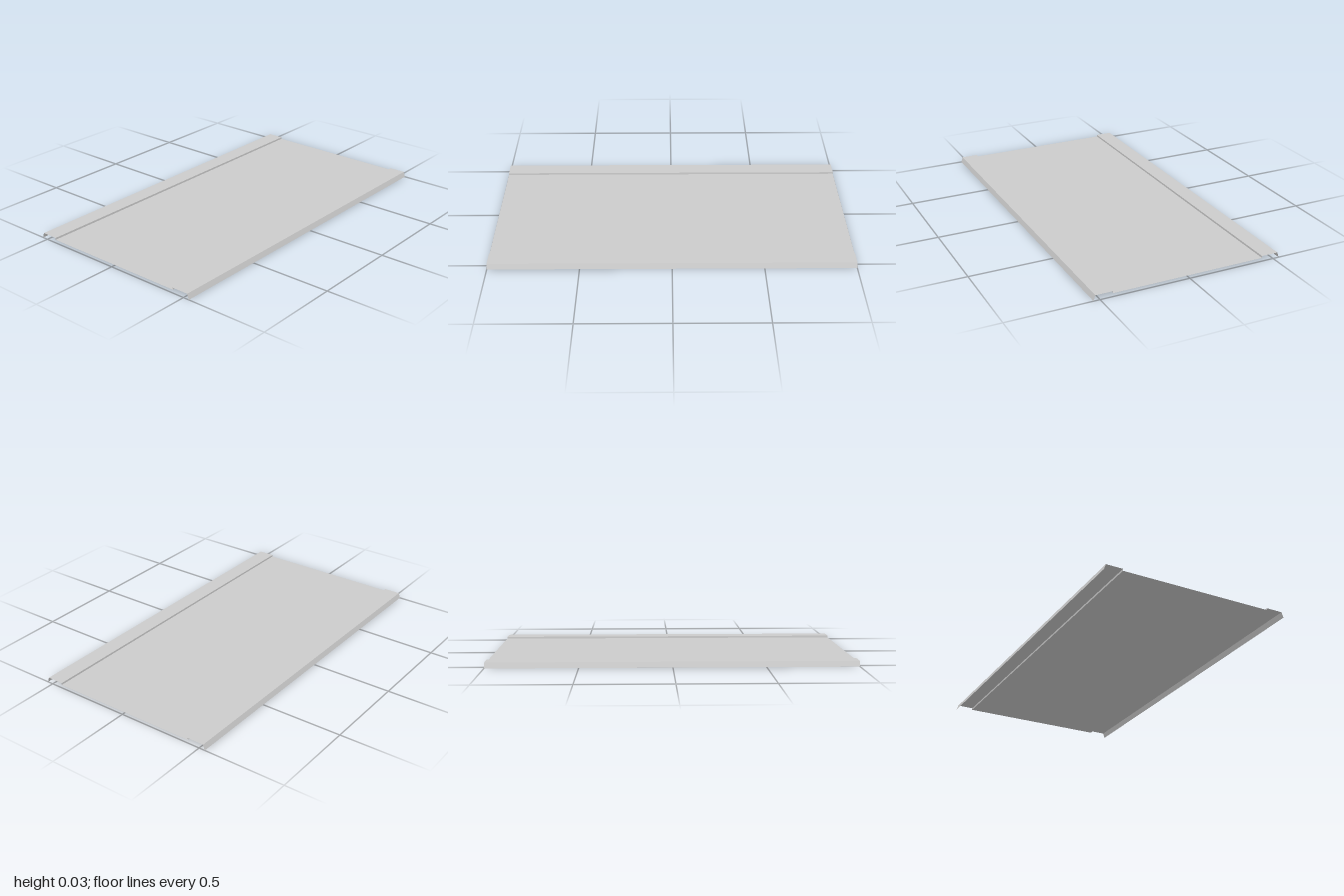
import * as THREE from 'three';

const HALF_LENGTH = 1;

// Folded sheet cross-section (x, y) from the right edge to the left edge
const half = [[0.535, 0], [0.525, 0.03], [0.43, 0.03], [0.43, 0.019]];
const profile = [...half.map(([x, y]) => [-x, y]), ...[...half].reverse()];
const names = ['rightLip', 'rightFlange', 'rightStep', 'panel', 'leftStep', 'leftFlange', 'leftLip'];

// One flat strip between two profile points, running the full length, facing up/outward
function strip([ax, ay], [bx, by]) {
  const L = HALF_LENGTH;
  const geometry = new THREE.BufferGeometry();
  geometry.setAttribute('position', new THREE.Float32BufferAttribute(
    [ax, ay, -L, ax, ay, L, bx, by, L, bx, by, -L], 3));
  geometry.setIndex([0, 1, 2, 0, 2, 3]);
  geometry.computeVertexNormals();
  return geometry;
}

export function createModel() {
  const group = new THREE.Group();
  group.name = 'foldedSheetPanel';
  const material = new THREE.MeshStandardMaterial({ color: 0xcccccc, side: THREE.DoubleSide });

  // Central panel, raised side flanges and turned-down lips
  names.forEach((name, i) => {
    const mesh = new THREE.Mesh(strip(profile[i], profile[i + 1]), material);
    mesh.name = name;
    group.add(mesh);
  });
  return group;
}
